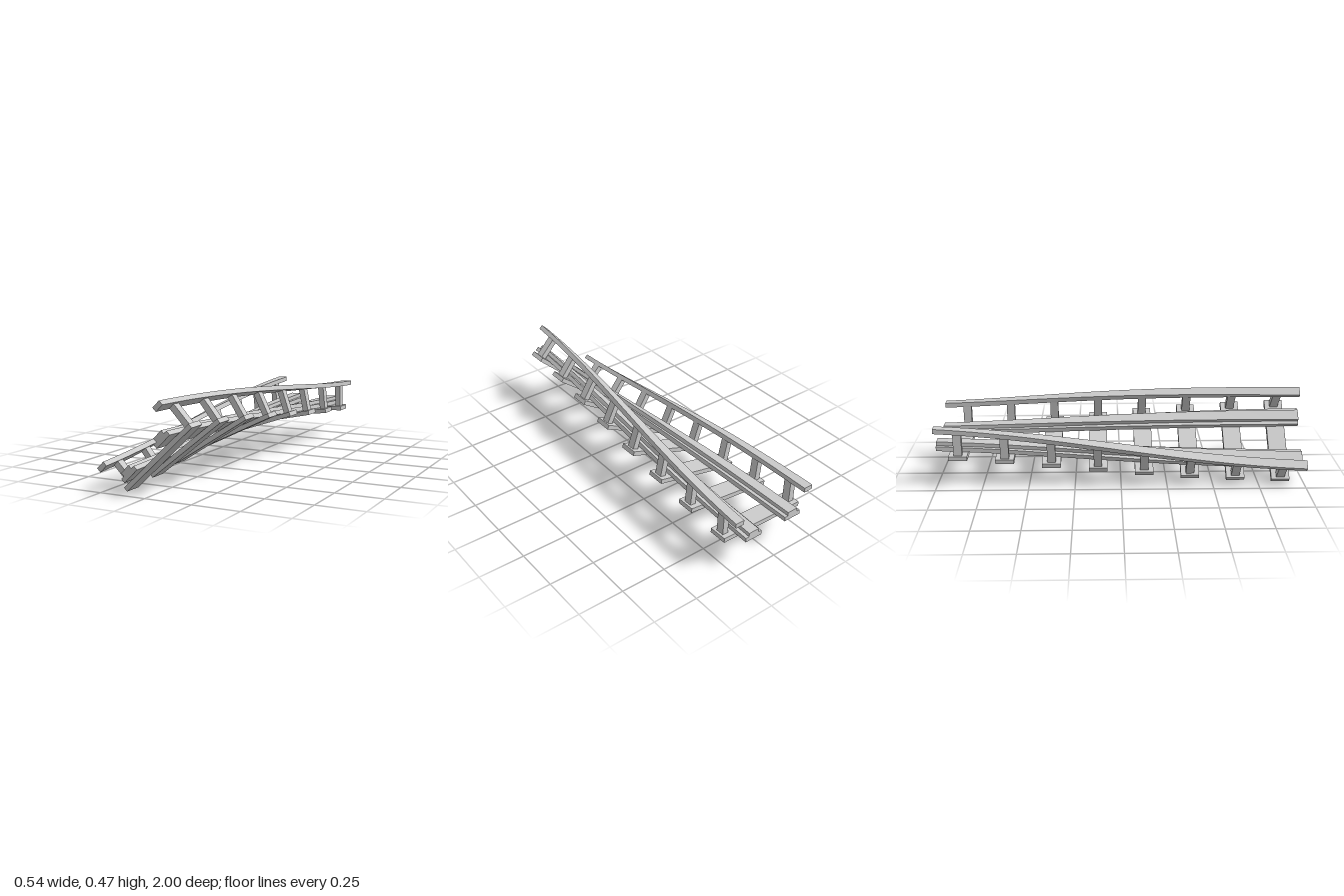
import * as THREE from 'three';

const CENTER = { x: 0.024, y: 0.18 };
const SEGMENTS = 20;

// bank angle along the track: level at the back, 45 degrees at the front
function bank(z) {
  const t = THREE.MathUtils.clamp((z + 1) / 2, 0, 1);
  return (Math.PI / 4) * (0.5 * t + 0.5 * t * t * (3 - 2 * t));
}

// full-length bar with section u0..u1 (across) by v0..v1 (up), twisted along the bank
function twistedBar(u0, u1, v0, v1) {
  const geo = new THREE.BoxGeometry(u1 - u0, v1 - v0, 2, 1, 1, SEGMENTS);
  geo.translate((u0 + u1) / 2, (v0 + v1) / 2, 0);
  const p = geo.attributes.position;
  for (let i = 0; i < p.count; i++) {
    const u = p.getX(i), v = p.getY(i), a = bank(p.getZ(i));
    p.setXY(i, u * Math.cos(a) - v * Math.sin(a), u * Math.sin(a) + v * Math.cos(a));
  }
  geo.computeVertexNormals();
  return geo;
}

export function createModel() {
  const track = new THREE.Group();
  track.name = 'bankedTrack';
  track.position.set(CENTER.x, CENTER.y, 0);
  const material = new THREE.MeshStandardMaterial({ color: 0xcccccc });

  const add = (parent, name, geometry) => {
    const mesh = new THREE.Mesh(geometry, material);
    mesh.name = name;
    parent.add(mesh);
    return mesh;
  };

  // running rails (wide base, narrow head) and handrails on both sides
  for (const [side, s] of [['left', 1], ['right', -1]]) {
    const bar = (name, mid, width, v0, v1) =>
      add(track, side + name, twistedBar(s * mid - width / 2, s * mid + width / 2, v0, v1));
    bar('RailBase', 0.128, 0.1, 0.0125, 0.037);
    bar('RailHead', 0.128, 0.06, 0.037, 0.058);
    bar('Handrail', 0.223, 0.05, 0.135, 0.161);
  }

  // cross ties, each carrying two handrail posts
  const tieGeo = new THREE.BoxGeometry(0.496, 0.025, 0.1);
  const postGeo = new THREE.BoxGeometry(0.032, 0.125, 0.045);
  for (let i = 0; i < 8; i++) {
    const z = -0.875 + i * 0.25;
    const section = new THREE.Group();
    section.name = 'tieSection' + (i + 1);
    section.position.z = z;
    section.rotation.z = bank(z);
    add(section, 'tie', tieGeo);
    add(section, 'leftPost', postGeo).position.set(0.219, 0.0745, 0);
    add(section, 'rightPost', postGeo).position.set(-0.219, 0.0745, 0);
    track.add(section);
  }

  const model = new THREE.Group();
  model.name = 'trackPiece';
  model.add(track);
  return model;
}
